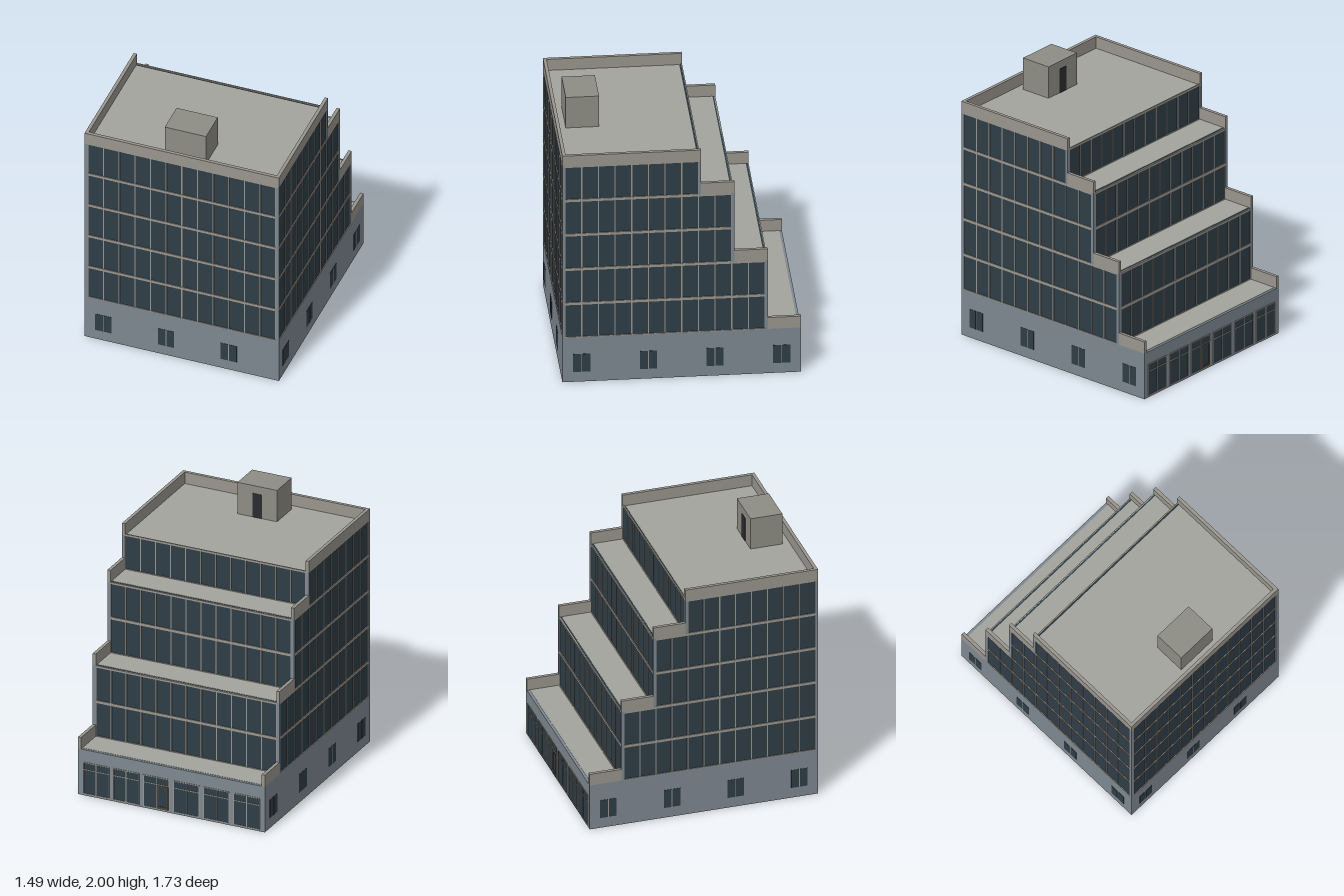
import * as THREE from 'three';

const mat = (color) => new THREE.MeshStandardMaterial({ color });
const M = {
  wall: mat(0x7e8890), glass: mat(0x2f3d46), trim: mat(0x99958e),
  deck: mat(0xa3a49d), hut: mat(0x8e8d84), door: mat(0x2a2c30), wood: mat(0x4a3f38),
};

const W = 0.745, F = 0.86, BAY = 0.12, FLOOR = 0.28, BASE = 0.36, T = 0.025;

// Box given by its minimum and maximum on each axis
function box(parent, name, m, x0, x1, y0, y1, z0, z1) {
  const mesh = new THREE.Mesh(new THREE.BoxGeometry(x1 - x0, y1 - y0, z1 - z0), m);
  mesh.position.set((x0 + x1) / 2, (y0 + y1) / 2, (z0 + z1) / 2);
  mesh.name = name;
  parent.add(mesh);
  return mesh;
}

// Empty group on a facade: local x runs along the wall, local z points outwards
function face(parent, name, x, z, angle) {
  const g = new THREE.Group();
  g.name = name;
  g.position.set(x, 0, z);
  g.rotation.y = angle;
  parent.add(g);
  return g;
}

// Grid of mullions and floor bands standing just proud of the glass
function curtainWall(g, bays, y0, floors) {
  const h = (bays * BAY) / 2, top = y0 + floors * FLOOR;
  for (let i = 0; i <= bays; i++) {
    const x = -h + i * BAY;
    box(g, 'mullion', M.trim, x - 0.004, x + 0.004, y0, top, -0.01, -0.001);
  }
  for (let i = 0; i <= floors; i++) {
    const y = y0 + i * FLOOR;
    box(g, 'floorBand', M.trim, -h, h, Math.max(y - 0.015, y0), Math.min(y + 0.006, top), -0.01, 0);
  }
}

// Small two-pane window passing through the ground floor wall
function smallWindow(g, x) {
  for (const s of [-1, 1]) {
    box(g, 'windowPane', M.glass, x + s * 0.0325 - 0.0295, x + s * 0.0325 + 0.0295, 0.08, 0.225, -0.023, 0.002);
  }
  box(g, 'windowMullion', M.trim, x - 0.003, x + 0.003, 0.08, 0.225, -0.022, 0.001);
}

// Wide shop bay: glass, frame, transom, and a door in one of them
function shopBay(g, x, hasDoor) {
  const w = 0.102, top = 0.26;
  box(g, 'shopGlass', M.glass, x - w, x + w, 0.015, top, -0.023, 0.001);
  for (const d of [-w, 0, w]) {
    box(g, 'shopMullion', M.trim, x + d - 0.003, x + d + 0.003, 0.015, top, -0.02, 0.004);
  }
  for (const y of [0.015, 0.205, top]) {
    box(g, 'shopRail', M.trim, x - w, x + w, y - 0.003, y + 0.003, -0.02, 0.004);
  }
  if (hasDoor) {
    for (const d of [0.006, 0.084]) box(g, 'doorStile', M.wood, x + d, x + d + 0.012, 0.015, 0.2, -0.02, 0.005);
    box(g, 'doorRail', M.wood, x + 0.006, x + 0.096, 0.188, 0.2, -0.02, 0.005);
    box(g, 'doorKickPlate', M.wood, x + 0.006, x + 0.096, 0.015, 0.035, -0.02, 0.005);
  }
}

export function createModel() {
  const model = new THREE.Group();
  model.name = 'terracedOfficeBuilding';

  // Ground floor: four walls, open underneath, with a slab as ceiling
  const ground = face(model, 'groundFloor', 0, 0, 0);
  const t = 0.02;
  for (const s of [-1, 1]) {
    box(ground, 'sideWall', M.wall, s * (W - t / 2) - t / 2, s * (W - t / 2) + t / 2, 0, BASE, -F, F);
    box(ground, 'endWall', M.wall, -W + t, W - t, 0, BASE, s * (F - t / 2) - t / 2, s * (F - t / 2) + t / 2);
    const side = face(ground, 'sideWindows', s * W, 0, s * Math.PI / 2);
    for (const z of [-0.72, -0.24, 0.24, 0.72]) smallWindow(side, z);
  }
  box(ground, 'ceilingSlab', M.deck, -W + t, W - t, BASE - 0.015, BASE - 0.002, -F + t, F - t);
  const front = face(ground, 'frontWindows', 0, F, 0);
  for (const x of [-0.6, -0.12, 0.36]) smallWindow(front, x);
  const shop = face(ground, 'shopFront', 0, -F, Math.PI);
  for (let i = 0; i < 6; i++) shopBay(shop, -0.6 + i * 0.24, i === 2);

  // Upper tiers, each set back at the rear
  const tiers = [
    { y: BASE, floors: 2, bays: 12 },
    { y: BASE + 2 * FLOOR, floors: 2, bays: 10 },
    { y: BASE + 4 * FLOOR, floors: 1, bays: 8 },
  ].map((q) => ({ ...q, back: 0.82 - q.bays * BAY, top: q.y + q.floors * FLOOR - (q.floors === 1 ? 0.01 : 0) }));

  for (const { y, floors, bays, back, top } of tiers) {
    const tier = face(model, 'tier', 0, 0, 0);
    const inset = 0.006;
    box(tier, 'glazing', M.glass, -W + inset, W - inset, y, top, back + inset, F - inset);
    // Corner posts
    for (const s of [-1, 1]) {
      const x0 = s > 0 ? W - T : -W;
      box(tier, 'cornerPost', M.wall, x0, x0 + T, y, top, F - t, F);
      box(tier, 'cornerPost', M.wall, x0, x0 + T, y, top, back, back + t);
      const side = face(tier, 'sideCurtainWall', s * W, 0.84 - bays * BAY / 2, s * Math.PI / 2);
      curtainWall(side, bays, y, floors);
    }
    curtainWall(face(tier, 'frontCurtainWall', 0, F, 0), 12, y, floors);
    curtainWall(face(tier, 'rearCurtainWall', 0, back, Math.PI), 12, y, floors);
  }

  // Terraces and roof: deck plus side parapets, open at the rear
  const levels = [
    { y: BASE, z0: -F, z1: tiers[0].back },
    { y: tiers[0].top, z0: tiers[0].back, z1: tiers[1].back },
    { y: tiers[1].top, z0: tiers[1].back, z1: tiers[2].back },
    { y: tiers[2].top, z0: tiers[2].back, z1: F },
  ];
  levels.forEach(({ y, z0, z1 }, i) => {
    const roof = i === 3;
    const g = face(model, roof ? 'roof' : 'terrace', 0, 0, 0);
    box(g, 'deck', M.deck, -W + T, W - T, y - 0.01, y + 0.002, z0 + 0.02, z1 + (roof ? -T : 0.006));
    for (const s of [-1, 1]) {
      const x0 = s > 0 ? W - T : -W;
      box(g, 'sideParapet', M.trim, x0, x0 + T, y, y + 0.092, z0, z1);
    }
    if (roof) box(g, 'frontParapet', M.trim, -W + T, W - T, y, y + 0.092, F - T, F);
  });

  // Stair hut on the roof, door facing the rear
  const hut = face(model, 'stairHut', 0, 0, 0);
  box(hut, 'hutBody', M.hut, -0.16, 0.156, 1.75, 2, 0.54, 0.78);
  box(hut, 'hutDoor', M.door, -0.04, 0.036, 1.752, 1.94, 0.537, 0.545);

  return model;
}
